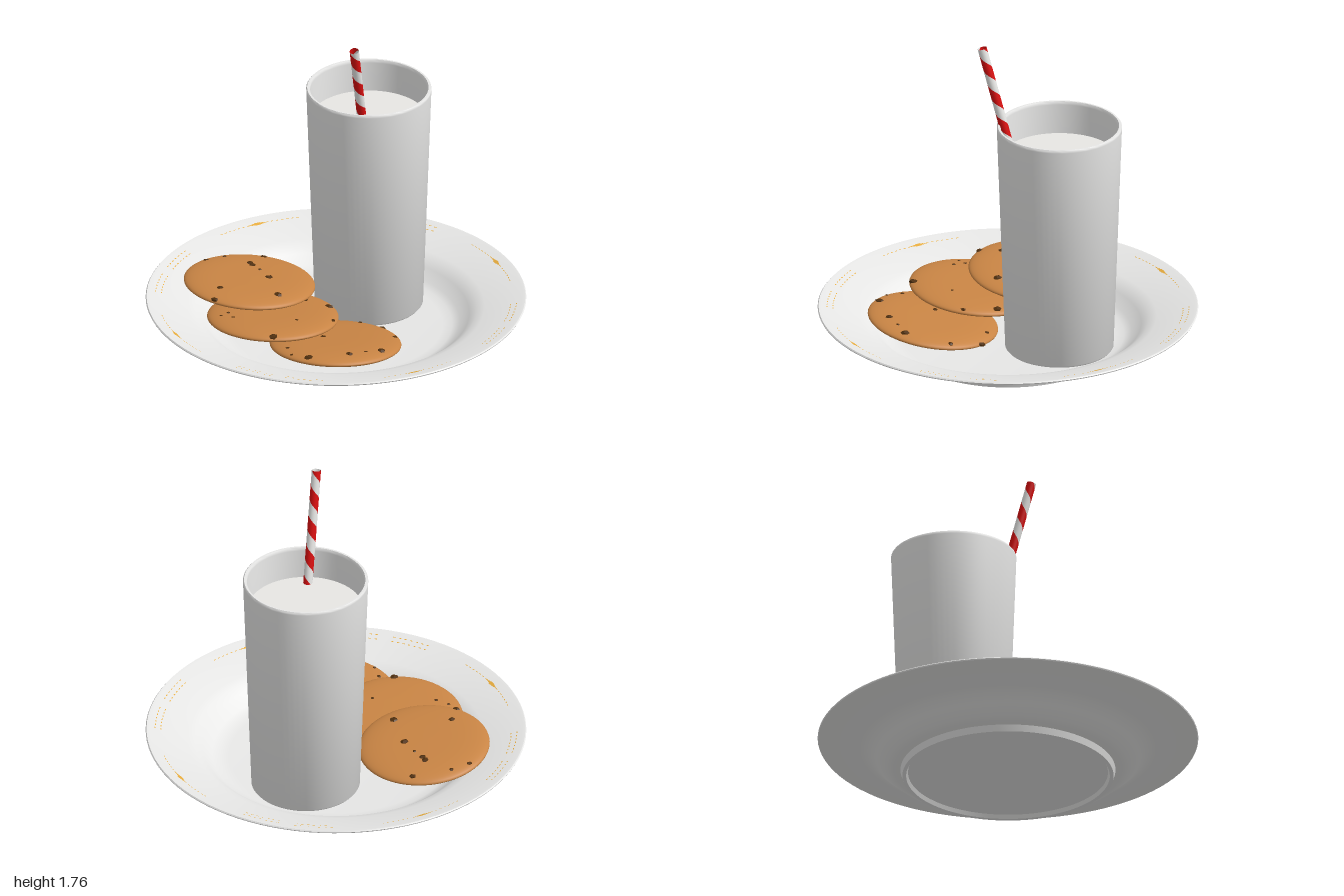
import * as THREE from 'three';
import { toCreasedNormals } from 'three/addons/utils/BufferGeometryUtils.js';

const mat = (name, color, side = THREE.FrontSide) => {
  const m = new THREE.MeshStandardMaterial({ color, side });
  m.name = name;
  return m;
};

export function createModel() {
  const model = new THREE.Group();
  model.name = 'milkAndCookies';

  const china = mat('white china', 0xebebea);
  const milkWhite = mat('milk white', 0xf2f1ee);
  const cookieBrown = mat('cookie brown', 0xc88444);
  const chocolate = mat('dark chocolate', 0x50300f);
  const gold = mat('gold trim', 0xecb040, THREE.DoubleSide);
  const red = mat('straw red', 0xd80f0f, THREE.DoubleSide);
  const strawWhite = mat('straw white', 0xeeeeec, THREE.DoubleSide);

  const add = (parent, name, geometry, material) => {
    const mesh = new THREE.Mesh(geometry, material);
    mesh.name = name;
    parent.add(mesh);
    return mesh;
  };
  const lathe = (pts, segments, start = 0, length = Math.PI * 2) =>
    new THREE.LatheGeometry(pts.map(([r, y]) => new THREE.Vector2(r, y)), segments, start, length);

  // Plate: recessed foot, flared underside, sloping rim and flat well
  add(model, 'plate', toCreasedNormals(lathe([
    [0, 0.02], [0.525, 0.02], [0.535, 0], [0.555, 0], [0.565, 0.035], [0.6, 0.042], [0.635, 0.056],
    [0.69, 0.105], [0.74, 0.146], [0.78, 0.16], [0.98, 0.209], [0.997, 0.213], [1, 0.219], [0.995, 0.225],
    [0.98, 0.223], [0.78, 0.168], [0.74, 0.155], [0.7, 0.125], [0.65, 0.078], [0.61, 0.062], [0.56, 0.057], [0, 0.057],
  ], 96), 0.7), china);

  // Gold trim: fine dashed arcs and small lozenges lying on the rim
  const trim = new THREE.Group();
  trim.name = 'goldTrim';
  model.add(trim);
  const rimY = r => 0.168 + (r - 0.78) * 0.275 + 0.0025;
  const dash = (angle, r, width, length) => add(trim, 'trimDash', lathe(
    [[r + width / 2, rimY(r + width / 2)], [r - width / 2, rimY(r - width / 2)]], 2, angle - length / 2, length), gold);
  for (let q = 0; q < 4; q++) {
    const axis = q * Math.PI / 2;
    const diagonal = axis + Math.PI / 4;
    for (const side of [-1, 1]) {
      for (let i = 0; i < 7; i++) {
        for (const r of [0.95, 0.92]) dash(axis + side * (0.05 + i * 0.034), r, 0.005, 0.014);
        dash(diagonal + side * (0.06 + i * 0.03), 0.935, 0.004, 0.014);
      }
    }
    for (const [w, l] of [[0.018, 0.035], [0.011, 0.07], [0.005, 0.11]]) dash(diagonal, 0.935, w, l);
  }

  // Tumbler with a rounded lip, filled with milk
  const tumbler = new THREE.Group();
  tumbler.name = 'tumbler';
  tumbler.position.set(0.08, 0, -0.3);
  model.add(tumbler);
  add(tumbler, 'cup', toCreasedNormals(lathe([
    [0, 0.058], [0.275, 0.058], [0.285, 0.07], [0.329, 1.312], [0.329, 1.322], [0.324, 1.328],
    [0.314, 1.328], [0.309, 1.32], [0.308, 1.31], [0.3, 1.1],
  ], 64), 0.8), china);
  const milk = add(tumbler, 'milk', new THREE.CircleGeometry(0.303, 64), milkWhite);
  milk.rotation.x = -Math.PI / 2;
  milk.position.y = 1.15;

  // Drinking straw: two helical ribbons wound into one tube
  const straw = new THREE.Group();
  straw.name = 'straw';
  straw.position.set(0.137, 1.06, -0.082);
  straw.rotation.x = Math.atan(0.27);
  model.add(straw);
  const strawLength = 0.715, pitch = 0.165, strawRadius = 0.0245;
  const ribbon = phase => {
    const pos = [], nor = [], idx = [], steps = 20, turns = 7;
    for (let i = 0; i <= steps * turns; i++) {
      const a = i / steps * Math.PI * 2;
      const low = strawLength + pitch * (1 + phase - i / steps);
      for (const y of [low, low + pitch / 2]) {
        pos.push(Math.sin(a) * strawRadius, THREE.MathUtils.clamp(y, 0, strawLength), Math.cos(a) * strawRadius);
        nor.push(Math.sin(a), 0, Math.cos(a));
      }
      if (i) {
        const k = i * 2;
        idx.push(k - 2, k, k - 1, k, k + 1, k - 1);
      }
    }
    const g = new THREE.BufferGeometry();
    g.setAttribute('position', new THREE.Float32BufferAttribute(pos, 3));
    g.setAttribute('normal', new THREE.Float32BufferAttribute(nor, 3));
    g.setIndex(idx);
    return g;
  };
  add(straw, 'redStripe', ribbon(0.35), red);
  add(straw, 'whiteStripe', ribbon(0.85), strawWhite);

  // Cookies: domed discs leaning on the plate and on each other
  const R = 0.346, domeTop = 0.038, domeBottom = 0.03;
  const profile = [];
  for (let i = 0; i <= 24; i++) {
    const t = i / 24 * Math.PI;
    profile.push([R * Math.sqrt(Math.abs(Math.sin(t))), -Math.cos(t) * (i < 12 ? domeBottom : domeTop)]);
  }
  profile[24][0] = 0;
  const cookieShape = lathe(profile, 64);
  const chipShape = new THREE.DodecahedronGeometry(1, 0);

  // Each chip is [x, z, size] in plate coordinates
  const cookies = [
    { at: [-0.485, 0.215, -0.015], slope: [-0.04, 0.085], chips: [
      [-0.51, -0.315, 0.02], [-0.54, -0.18, 0.022], [-0.52, -0.16, 0.02], [-0.695, -0.22, 0.014], [-0.77, -0.145, 0.015],
      [-0.465, -0.12, 0.012], [-0.39, -0.05, 0.024], [-0.28, 0.13, 0.026], [-0.58, 0.19, 0.02], [-0.57, 0.305, 0.022]] },
    { at: [-0.265, 0.182, 0.25], slope: [0.02, 0.1], chips: [
      [-0.155, 0.05, 0.019], [-0.02, 0.065, 0.026], [0.06, 0.23, 0.015], [-0.105, 0.335, 0.01], [-0.16, 0.555, 0.027],
      [-0.35, 0.28, 0.014], [-0.29, 0.24, 0.009], [-0.43, 0.41, 0.012], [-0.475, 0.36, 0.012], [-0.5, 0.4, 0.01]] },
    { at: [0.125, 0.147, 0.375], slope: [0.03, 0.14], chips: [
      [0.28, 0.07, 0.022], [0.395, 0.21, 0.016], [0.405, 0.455, 0.026], [0.34, 0.515, 0.011], [0.27, 0.58, 0.022],
      [0.08, 0.68, 0.027], [-0.065, 0.595, 0.013], [-0.02, 0.665, 0.011], [0.06, 0.385, 0.016], [0.16, 0.075, 0.014]] },
  ];
  cookies.forEach(({ at, slope, chips }, n) => {
    const cookie = new THREE.Group();
    cookie.name = 'cookie' + (n + 1);
    cookie.position.set(...at);
    cookie.rotation.set(-Math.atan(slope[1]), 0, Math.atan(slope[0]));
    model.add(cookie);
    add(cookie, 'cookieBody', cookieShape, cookieBrown);
    chips.forEach(([x, z, size], i) => {
      const dx = x - at[0], dz = z - at[2];
      const r = Math.min(Math.hypot(dx, dz) / R, 0.99);
      const chip = add(cookie, 'chocolateChip', chipShape, chocolate);
      chip.position.set(dx, domeTop * Math.sqrt(1 - r ** 4) - size * 0.15, dz);
      chip.rotation.y = i * 1.7 + n;
      chip.scale.set(size * 1.05, size * 0.5, size * 0.85);
    });
  });

  return model;
}
